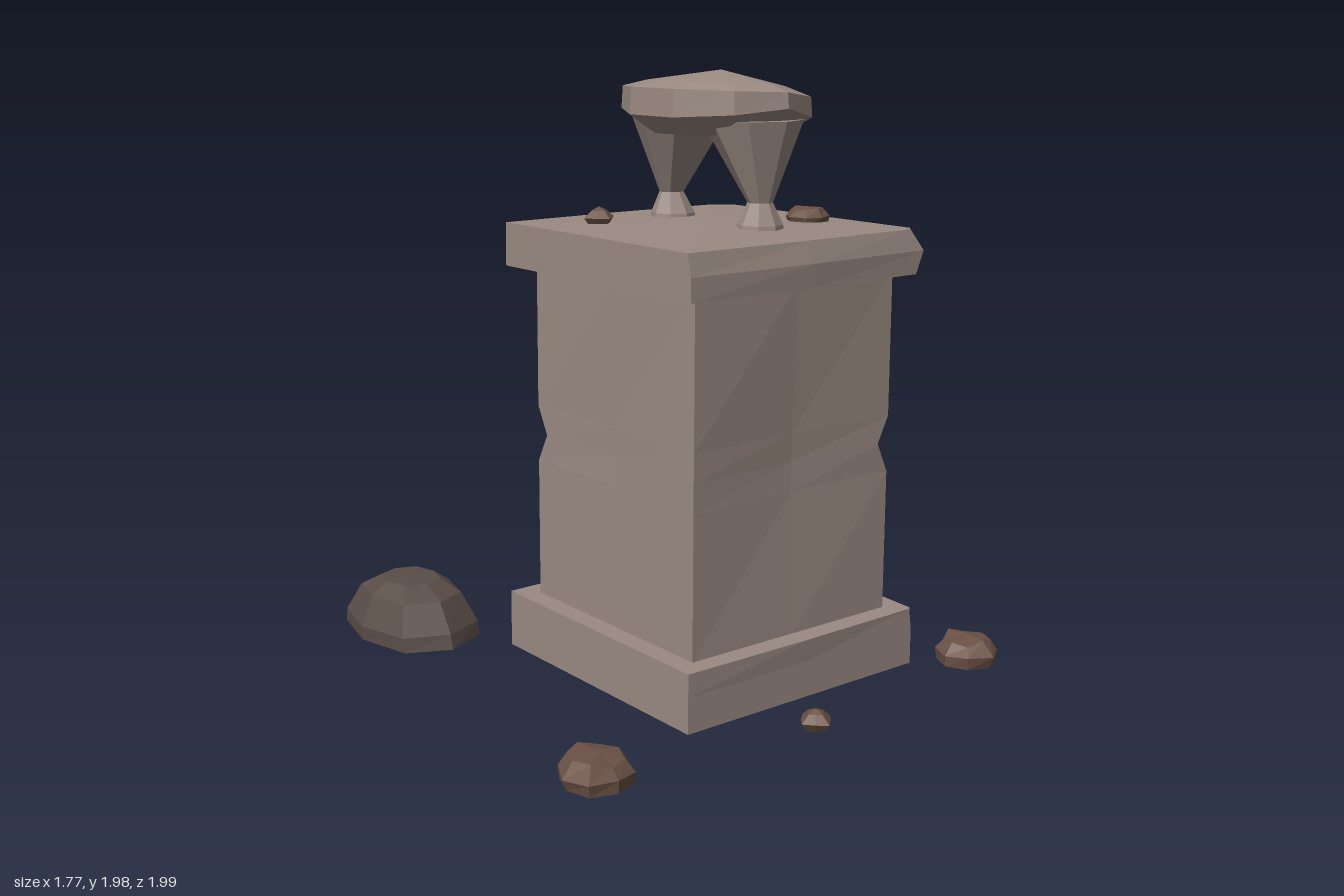
import * as THREE from 'three';

const material = (color) => new THREE.MeshStandardMaterial({ color, flatShading: true });
const stoneMat = material(0x9a8a82);
const rockMat = material(0x6a5145);
const boulderMat = material(0x5a4d48);

// Faceted solid through a stack of rings (bottom to top), closed by a fan at each end
function loft(name, rings, bottom, top, mat) {
  const pos = [];
  const tri = (a, b, c) => pos.push(...a, ...b, ...c);
  const n = rings[0].length;
  for (let i = 0; i < n; i++) {
    const j = (i + 1) % n;
    for (let k = 0; k < rings.length - 1; k++) {
      const a = rings[k], b = rings[k + 1];
      tri(a[i], a[j], b[j]);
      tri(a[i], b[j], b[i]);
    }
    const last = rings[rings.length - 1];
    tri(bottom, rings[0][j], rings[0][i]);
    tri(top, last[i], last[j]);
  }
  const geo = new THREE.BufferGeometry();
  geo.setAttribute('position', new THREE.Float32BufferAttribute(pos, 3));
  geo.computeVertexNormals();
  const mesh = new THREE.Mesh(geo, mat);
  mesh.name = name;
  return mesh;
}

// Rectangular ring: bulge per side (+x, -z, -x, +z), chip per corner
// (front +x, back +x, back -x, front -x)
function blockRing(y, [x0, x1, z0, z1], bulge, chip) {
  const cx = (x0 + x1) / 2, cz = (z0 + z1) / 2;
  const [a, b, c, d] = chip;
  return [
    [x1 - a, y, z1], [x1, y, z1 - a], [x1 + bulge[0], y, cz],
    [x1, y, z0 + b], [x1 - b, y, z0], [cx, y, z0 - bulge[1]],
    [x0 + c, y, z0], [x0, y, z0 + c], [x0 - bulge[2], y, cz],
    [x0, y, z1 - d], [x0 + d, y, z1], [cx, y, z1 + bulge[3]],
  ];
}

// Round ring; point(angle, index) may vary radius and height
function roundRing(n, point) {
  return Array.from({ length: n }, (_, i) => point((i / n) * Math.PI * 2, i));
}

function seeded(seed) {
  let s = seed * 7919 + 17;
  return () => (s = (s * 16807) % 2147483647) / 2147483647;
}

// Irregular rubble with a flat underside
function rock(name, x, y, z, r, h, seed) {
  const rand = seeded(seed);
  for (let i = 0; i < 5; i++) rand();
  const ring = (scale, level) => roundRing(8, (t) => {
    const q = r * scale * (0.9 + 0.18 * rand());
    return [x + Math.sin(t) * q, y + h * level * (level ? 0.85 + 0.3 * rand() : 1), z + Math.cos(t) * q];
  });
  const rings = [ring(0.88, 0), ring(0.97, 0.42), ring(0.68, 0.86)];
  return loft(name, rings, [x, y, z], [x + r * 0.1, y + h, z], rockMat);
}

// Small pointed pebble with a diamond outline
function pebble(name, x, y, z, r, h) {
  const ring = (scale, level) => roundRing(8, (t, i) => {
    const q = r * scale * (i % 2 ? 0.76 : 1);
    return [x + Math.sin(t) * q, y + h * level, z + Math.cos(t) * q];
  });
  return loft(name, [ring(0.65, 0), ring(1, 0.42), ring(0.5, 0.8)], [x, y, z], [x, y + h, z], rockMat);
}

// Flared leg: wide foot, thin neck, broad top leaning inward
function leg(name, footZ, neckZ, topZ) {
  const ring = (y, r, z) => roundRing(8, (t) =>
    [0.155 + Math.sin(t) * r, y, z + Math.cos(t) * r]);
  const rings = [ring(1.47, 0.078, footZ), ring(1.5, 0.074, footZ), ring(1.57, 0.041, neckZ), ring(1.83, 0.165, topZ)];
  return loft(name, rings, [0.155, 1.47, footZ], [0.155, 1.83, topZ], stoneMat);
}

export function createModel() {
  const model = new THREE.Group();
  model.name = 'stonePedestalWithRubble';

  // Pedestal
  const pedestal = new THREE.Group();
  pedestal.name = 'pedestal';
  const slab = [-0.365, 0.607, -0.232, 0.738];
  const none = [0, 0, 0, 0];
  pedestal.add(loft('base', [
    blockRing(0, slab, none, [0, 0.03, 0, 0]),
    blockRing(0.12, slab, [0.02, 0, 0, 0], [0, 0.01, 0, 0]),
    blockRing(0.195, slab, [0.03, 0.005, 0, 0.005], [0.01, 0.05, 0, 0]),
  ], [0.12, 0, 0.25], [0.12, 0.195, 0.25], stoneMat));

  // Shaft with bulged faces and notched edges
  const shaft = [-0.293, 0.537, -0.157, 0.67];
  const shaftRings = [0.19, 0.67, 0.765, 0.86, 1.34].map((y, i) => {
    const k = [0, 0.84, 1, 0.84, 0][i];
    const bulge = [0.038, 0.022, -0.012, -0.018].map((v) => v * k);
    return blockRing(y, shaft, bulge, i === 2 ? [0.047, 0.028, 0.05, 0] : none);
  });
  pedestal.add(loft('shaft', shaftRings, [0.12, 0.19, 0.25], [0.12, 1.34, 0.25], stoneMat));

  // Capstone with worn top edges
  pedestal.add(loft('capstone', [
    blockRing(1.335, slab, [0, 0.01, 0, 0.006], [0.032, 0.03, 0, 0]),
    blockRing(1.41, slab, [0, 0.012, 0, 0.01], [0, 0.01, 0, 0]),
    blockRing(1.48, [-0.365, 0.588, -0.23, 0.722], [0, 0.012, 0, 0.005], [0.03, 0.06, 0, 0]),
  ], [0.12, 1.335, 0.25], [0.1, 1.495, 0.24], stoneMat));
  model.add(pedestal);

  // Legs and the tilted stone they carry
  const ornament = new THREE.Group();
  ornament.name = 'ornament';
  ornament.add(leg('frontLeg', 0.45, 0.45, 0.405), leg('backLeg', 0.008, 0.0, 0.045));
  const topRing = (scale, y, dip, tilt) => roundRing(10, (t) => {
    const s = Math.sin(t);
    return [0.157 + s * 0.278 * scale, y - dip * Math.abs(s) - tilt * s, 0.22 + Math.cos(t) * 0.355 * scale];
  });
  ornament.add(loft('topStone', [
    topRing(0.7, 1.79, 0.015, 0.005),
    topRing(1, 1.87, 0.045, 0.015),
    topRing(0.985, 1.92, 0.012, 0.022),
    topRing(0.72, 1.945, 0.01, 0.012),
  ], [0.16, 1.77, 0.22], [0.2, 1.98, 0.2], stoneMat));
  model.add(ornament);

  // Large boulder
  const boulderRing = (rx, rz, y) => roundRing(8, (t, i) => {
    const q = i % 2 ? 1.06 : 1;
    return [-0.557 + Math.sin(t) * rx * q, y, -0.59 + Math.cos(t) * rz * q];
  });
  model.add(loft('boulder', [
    boulderRing(0.2, 0.28, 0),
    boulderRing(0.203, 0.265, 0.05),
    boulderRing(0.155, 0.2, 0.15),
    boulderRing(0.095, 0.11, 0.193),
  ], [-0.557, 0, -0.59], [-0.557, 0.196, -0.59], boulderMat));

  // Scattered rubble
  const rubble = new THREE.Group();
  rubble.name = 'rubble';
  rubble.add(
    rock('backRock', 0.425, 0, -0.872, 0.126, 0.09, 1),
    rock('frontRightRock', -0.775, 0, 0.82, 0.124, 0.09, 2),
    rock('frontLeftRock', 0.78, 0, 0.835, 0.116, 0.09, 3),
    rock('capRock', 0.43, 1.48, 0.375, 0.075, 0.052, 4),
    pebble('backPebble', 0.165, 0, -0.393, 0.061, 0.065),
    pebble('frontPebble', -0.02, 0, 0.938, 0.06, 0.065),
    pebble('capPebble', -0.158, 1.478, 0.01, 0.06, 0.062),
  );
  model.add(rubble);
  return model;
}
